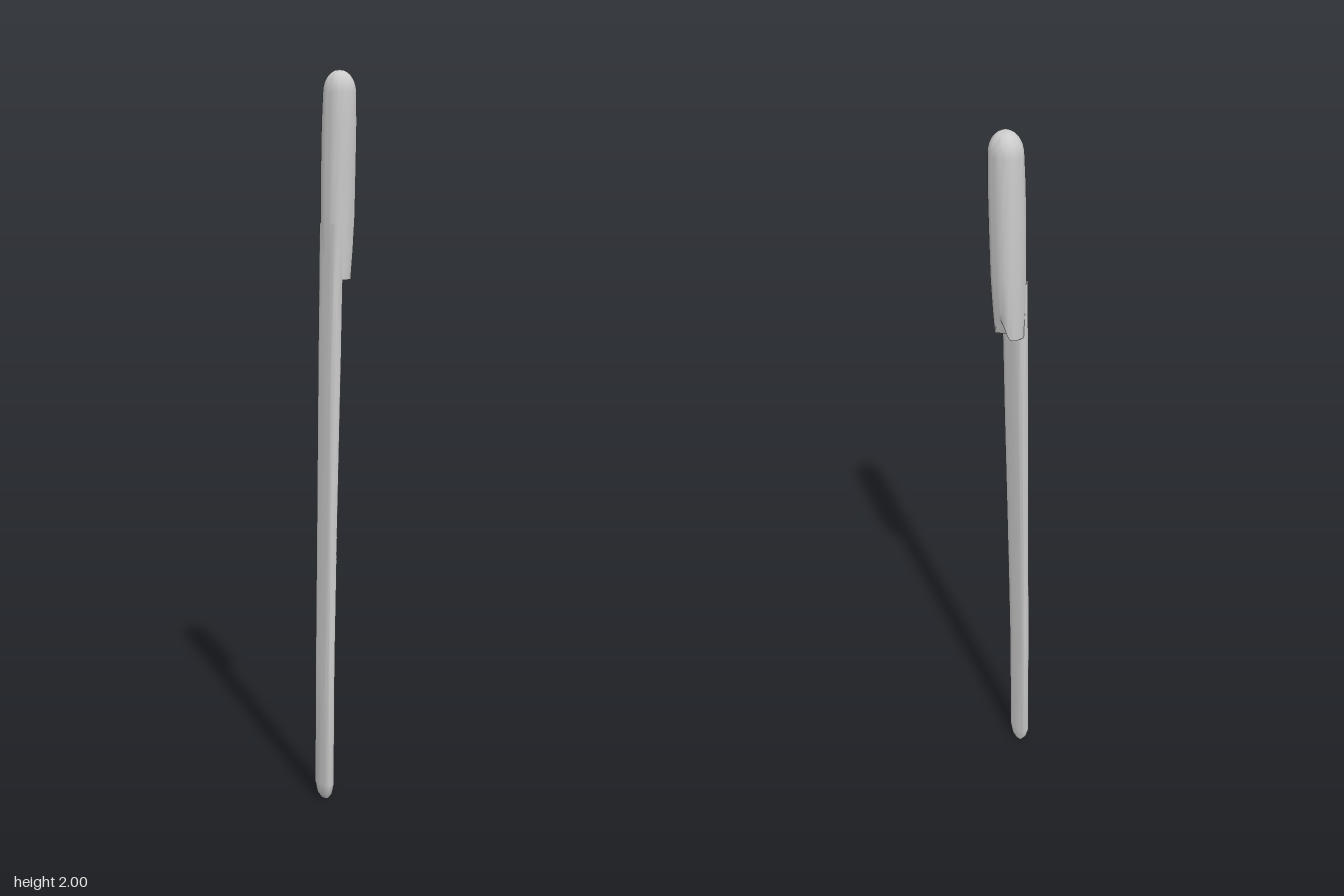
import * as THREE from 'three';
import { toCreasedNormals } from 'three/addons/utils/BufferGeometryUtils.js';

// Lofts superellipse rings [y, xMin, xMax, zMin, zMax, power], listed bottom to top.
function loft(rings, sides, lift = () => 0) {
  const pos = [], index = [];
  const sp = (v, p) => Math.sign(v) * Math.abs(v) ** (2 / p);
  rings.forEach(([y, x0, x1, z0, z1, p], r) => {
    for (let i = 0; i < sides; i++) {
      const t = (i / sides) * Math.PI * 2;
      pos.push(
        (x0 + x1) / 2 + ((x1 - x0) / 2) * sp(Math.cos(t), p),
        y + lift(r, t),
        (z0 + z1) / 2 + ((z1 - z0) / 2) * sp(Math.sin(t), p));
    }
  });
  for (let r = 0; r < rings.length - 1; r++) {
    for (let i = 0; i < sides; i++) {
      const a = r * sides + i, b = r * sides + (i + 1) % sides;
      index.push(a, a + sides, b, b, a + sides, b + sides);
    }
  }
  // End caps
  const last = rings.length - 1;
  for (const r of [0, last]) {
    const [y, x0, x1, z0, z1] = rings[r];
    const c = pos.length / 3;
    pos.push((x0 + x1) / 2, r ? y : y + 0.02, (z0 + z1) / 2);
    if (!r) pos[pos.length - 2] = y + lift(0, -Math.PI / 2) * 0.7;
    for (let i = 0; i < sides; i++) {
      const a = r * sides + i, b = r * sides + (i + 1) % sides;
      if (r) index.push(c, b, a);
      else index.push(c, a, b);
    }
  }
  const g = new THREE.BufferGeometry();
  g.setAttribute('position', new THREE.Float32BufferAttribute(pos, 3));
  g.setIndex(index);
  return toCreasedNormals(g, 0.7);
}

export function createModel() {
  const group = new THREE.Group();
  const material = new THREE.MeshStandardMaterial({ color: 0xcccccc });
  const add = (name, geometry) => {
    const mesh = new THREE.Mesh(geometry, material);
    mesh.name = name;
    group.add(mesh);
  };

  // Long flat blade, leaning forward and to the left toward its blunt tip
  add('blade', loft([
    [0.0, 0.005, 0.03, 0.04, 0.054, 3],
    [0.015, -0.005, 0.042, 0.036, 0.062, 3.5],
    [0.045, -0.013, 0.05, 0.035, 0.064, 4],
    [0.4, -0.022, 0.044, 0.027, 0.054, 4],
    [0.8, -0.032, 0.038, 0.012, 0.041, 4],
    [1.2, -0.043, 0.031, -0.006, 0.028, 4],
    [1.42, -0.048, 0.029, -0.014, 0.022, 3.5],
    [1.6, -0.049, 0.033, -0.02, 0.021, 3],
  ], 32));

  // Round handle with a domed end; its lower back edge has a pointed notch
  const notch = (r, t) => {
    if (r > 0) return 0;
    const d = Math.abs(t - Math.PI * 1.5);
    return 0.055 * Math.max(0, 1 - d / 0.7);
  };
  const handle = [
    [1.45, -0.049, 0.03, -0.05, 0.02, 2.5],
    [1.53, -0.051, 0.033, -0.057, 0.022, 2.5],
    [1.62, -0.053, 0.037, -0.062, 0.023, 2.4],
    [1.75, -0.053, 0.042, -0.063, 0.024, 2.3],
    [1.86, -0.051, 0.046, -0.062, 0.023, 2.3],
  ];
  // Dome
  for (let i = 0; i <= 7; i++) {
    const a = (i / 7) * 1.5, s = Math.cos(a);
    handle.push([1.94 + 0.06 * Math.sin(a),
      -0.002 - 0.046 * s, -0.002 + 0.048 * s, -0.02 - 0.041 * s, -0.02 + 0.041 * s, 2.2]);
  }
  add('handle', loft(handle, 32, notch));

  return group;
}
